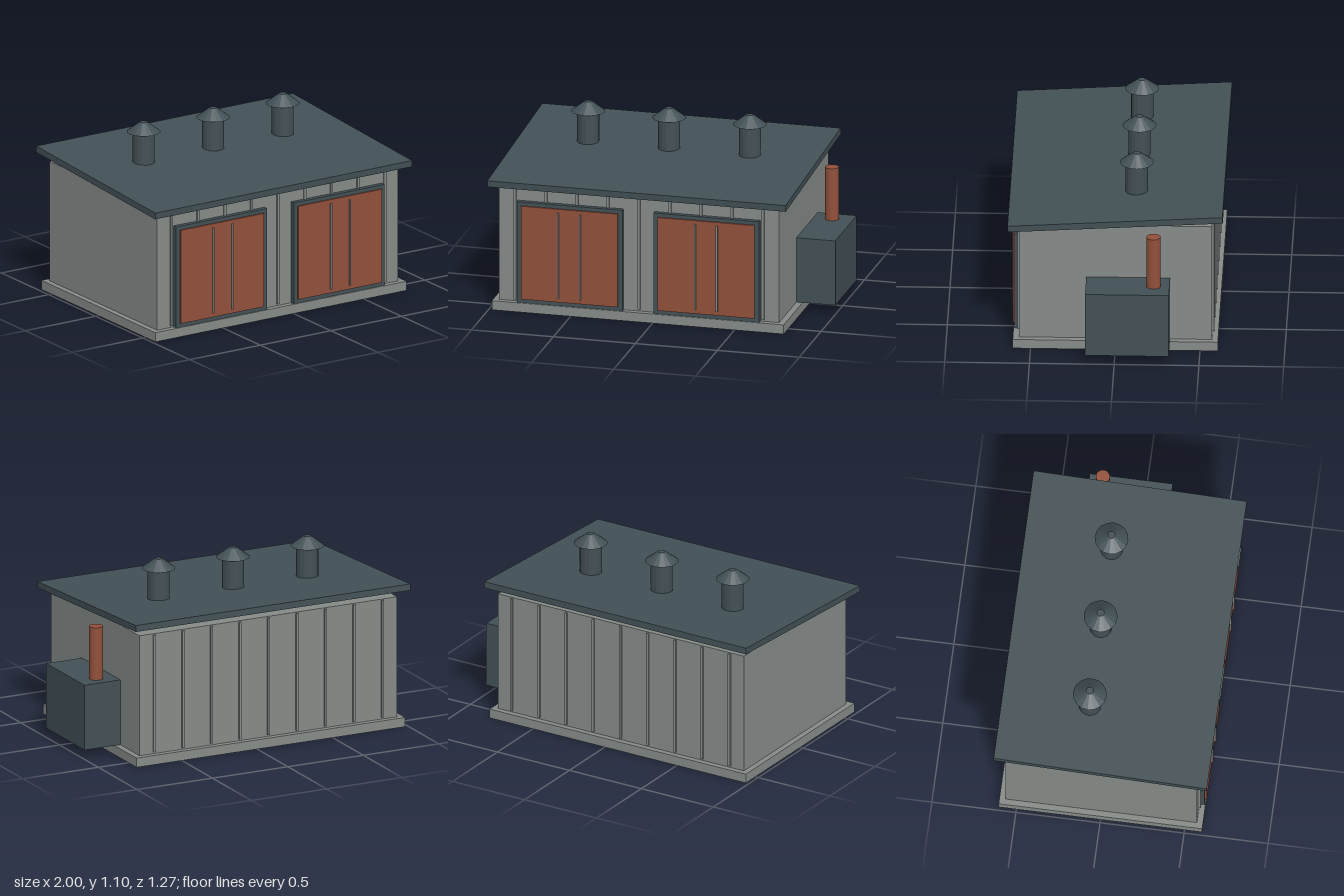
import * as THREE from 'three';

const mat = (name, color) => {
  const m = new THREE.MeshStandardMaterial({ color });
  m.name = name;
  return m;
};

export function createModel() {
  const model = new THREE.Group();
  model.name = 'shed';
  const wallGrey = mat('wallGrey', 0x868b88);
  const slate = mat('slate', 0x425055);
  const rust = mat('rust', 0x92503b);
  const ventSlate = slate.clone();
  ventSlate.flatShading = true;
  const cx = -0.09; // centre line of the building

  const add = (name, geometry, material, x, y, z, parent = model) => {
    const mesh = new THREE.Mesh(geometry, material);
    mesh.name = name;
    mesh.position.set(x, y, z);
    parent.add(mesh);
    return mesh;
  };
  // Box given by its lower and upper limits on each axis
  const box = (name, material, [x0, x1], [y0, y1], [z0, z1], parent) =>
    add(name, new THREE.BoxGeometry(x1 - x0, y1 - y0, z1 - z0), material,
      (x0 + x1) / 2, (y0 + y1) / 2, (z0 + z1) / 2, parent);

  // Slab, walls and sloping roof
  box('foundation', wallGrey, [-0.98, 0.8], [0, 0.057], [-0.605, 0.605]);
  box('walls', wallGrey, [-0.945, 0.763], [0.057, 0.797], [-0.57, 0.57]);
  add('roof', new THREE.BoxGeometry(1.82, 0.039, 1.27), slate, cx, 0.828, 0).rotation.x = 0.06;

  // Cladding ribs on the front and back
  for (let i = -4; i <= 4; i++) {
    const x = cx + i * 0.189;
    box('frontRib', wallGrey, [x - 0.0075, x + 0.0075], [0.068, 0.79], [0.565, 0.58]);
    box('backRib', wallGrey, [x - 0.0075, x + 0.0075], [0.068, 0.79], [-0.58, -0.565]);
  }

  // Two loading doors with frames and vertical bars
  for (const side of [-1, 1]) {
    const x = cx + side * 0.417;
    const door = new THREE.Group();
    door.name = side < 0 ? 'rightDoor' : 'leftDoor';
    model.add(door);
    box('doorFrame', slate, [x - 0.322, x + 0.322], [0.057, 0.683], [0.57, 0.599], door);
    box('doorPanel', rust, [x - 0.295, x + 0.295], [0.082, 0.66], [0.59, 0.609], door);
    for (const s of [-1, 1]) {
      const bx = x + s * 0.067;
      box('doorBar', wallGrey, [bx - 0.005, bx + 0.005], [0.107, 0.638], [0.605, 0.618], door);
    }
  }

  // Roof vents with conical caps
  for (const i of [-1, 0, 1]) {
    const vent = new THREE.Group();
    vent.name = 'roofVent';
    vent.position.set(cx + i * 0.493, 0, -0.115);
    model.add(vent);
    add('ventPipe', new THREE.CylinderGeometry(0.066, 0.066, 0.2, 16), ventSlate, 0, 0.943, 0, vent);
    add('ventCap', new THREE.CylinderGeometry(0.022, 0.1, 0.06, 16), ventSlate, 0, 1.07, 0, vent);
  }

  // Side machine box and its exhaust
  box('machineBox', slate, [0.755, 1], [0.057, 0.457], [-0.322, 0.172]);
  add('exhaustPipe', new THREE.CylinderGeometry(0.042, 0.042, 0.33, 16), rust, 0.875, 0.615, -0.228);

  return model;
}
